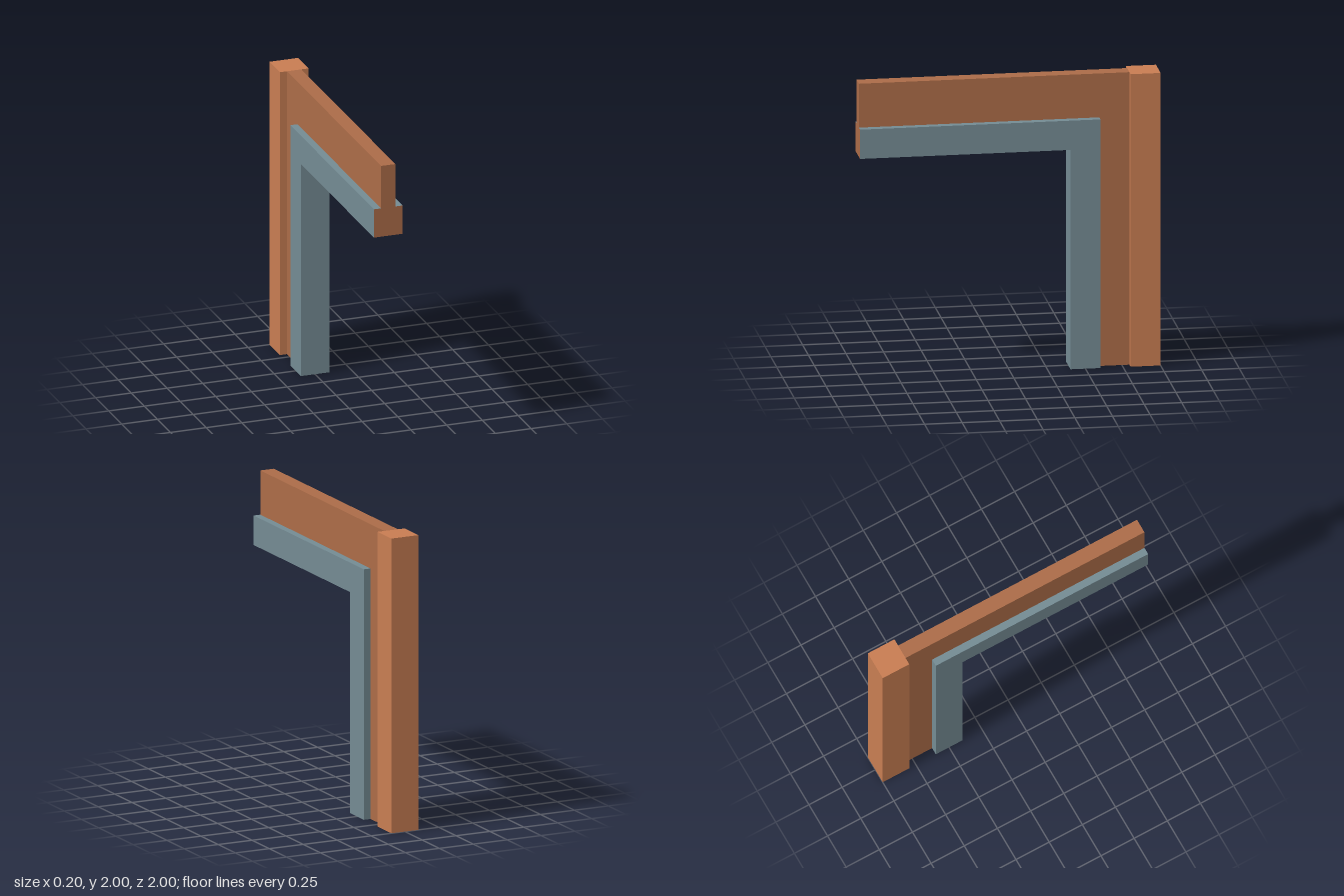
import * as THREE from 'three';

const material = (color) => new THREE.MeshStandardMaterial({ color, flatShading: true });

// One mesh from a list of four-cornered faces
function quadMesh(name, quads, mat) {
  const positions = quads.flatMap(([a, b, c, d]) => [a, b, c, a, c, d]).flat();
  const geometry = new THREE.BufferGeometry();
  geometry.setAttribute('position', new THREE.Float32BufferAttribute(positions, 3));
  geometry.computeVertexNormals();
  const mesh = new THREE.Mesh(geometry, mat);
  mesh.name = name;
  return mesh;
}

export function createModel() {
  const group = new THREE.Group();
  group.name = 'corniceFrame';
  const postMat = material(0xc87d52);
  const webMat = material(0xac6c48);
  const flangeMat = material(0x748b93);

  // T section: x, height along the beam, depth along the leg
  const section = [
    [-0.05, 2, -0.8], [-0.05, 1.7, -0.6], [-0.1, 1.7, -0.6], [-0.1, 1.5, -0.4],
    [0.1, 1.5, -0.4], [0.1, 1.7, -0.6], [0.05, 1.7, -0.6], [0.05, 2, -0.8],
  ];
  const front = section.map(([x, y]) => [x, y, 1]);
  const corner = section;
  const foot = section.map(([x, , z]) => [x, 0, z]);

  // Sweep the section from the beam end, round the mitred corner, down to the foot
  const web = [];
  const flange = [];
  for (let i = 0; i < 8; i++) {
    const j = (i + 1) % 8;
    const list = i === 0 || i >= 6 ? web : flange;
    list.push([corner[i], corner[j], front[j], front[i]]);
    // the web's back edge is closed by the post
    if (i !== 7) list.push([foot[i], foot[j], corner[j], corner[i]]);
  }

  // End caps of beam and leg
  const caps = [];
  for (const ids of [[0, 1, 6, 7], [2, 3, 4, 5]]) {
    caps.push(ids.map((i) => front[i]));
    caps.push(ids.map((i) => foot[i]).reverse());
  }

  group.add(quadMesh('web', web, webMat));
  group.add(quadMesh('innerFlange', flange, flangeMat));
  group.add(quadMesh('endCaps', caps, webMat));

  // Rear post
  const post = new THREE.Mesh(new THREE.BoxGeometry(0.2, 2, 0.2), postMat);
  post.name = 'rearPost';
  post.position.set(0, 1, -0.9);
  group.add(post);
  return group;
}
